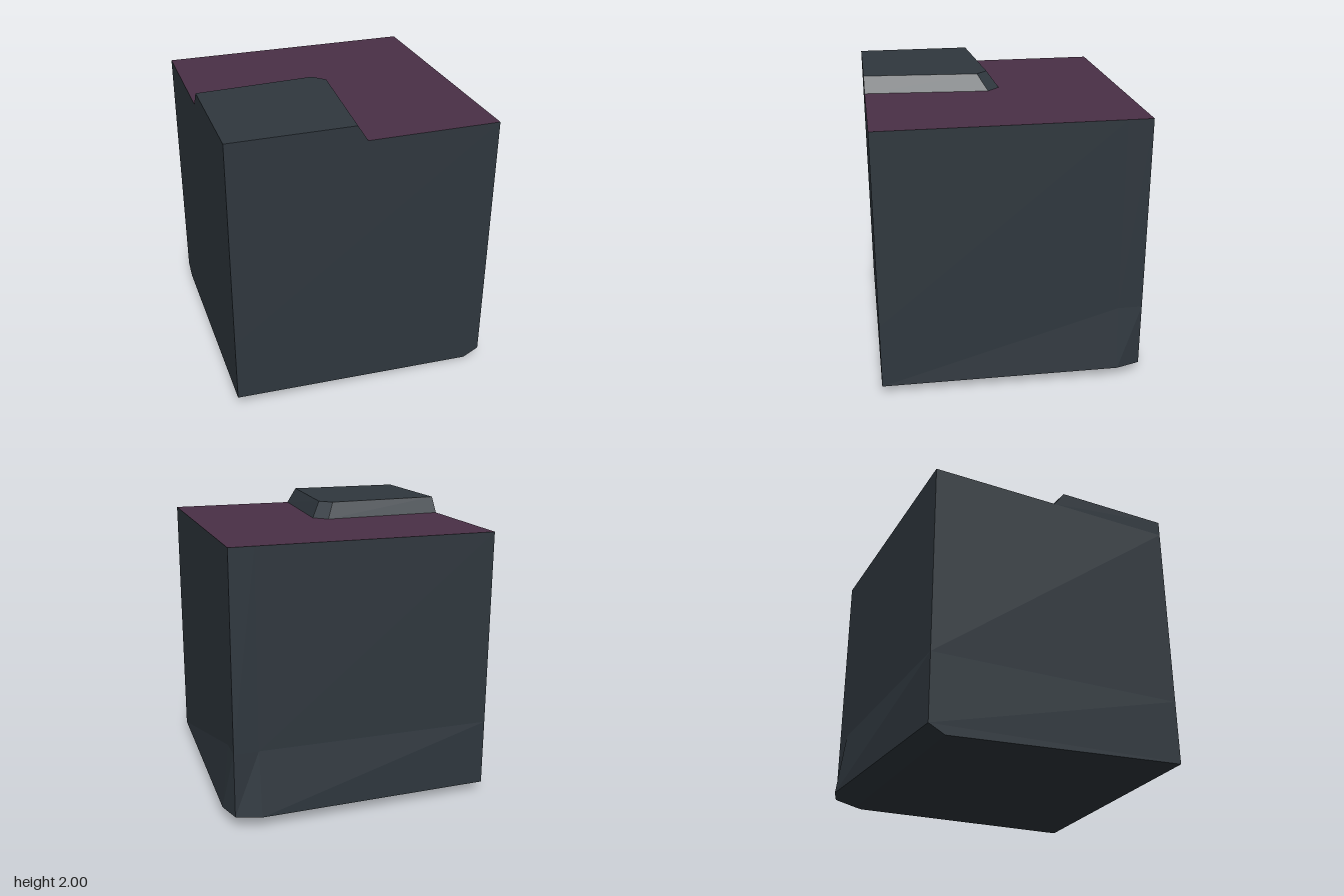
import * as THREE from 'three';

// Joins rings of [x, y, z] points, listed bottom to top and counter-clockwise from above.
function loft(rings, { bottom = false, top = false } = {}) {
  const pos = [];
  const tri = (a, b, c) => pos.push(...a, ...b, ...c);
  const n = rings[0].length;
  for (let r = 0; r < rings.length - 1; r++) {
    const lo = rings[r], hi = rings[r + 1];
    for (let i = 0; i < n; i++) {
      const j = (i + 1) % n;
      tri(lo[i], lo[j], hi[j]);
      tri(lo[i], hi[j], hi[i]);
    }
  }
  const first = rings[0], last = rings[rings.length - 1];
  for (let i = 1; i < n - 1; i++) {
    if (bottom) tri(first[0], first[i + 1], first[i]);
    if (top) tri(last[0], last[i], last[i + 1]);
  }
  const geometry = new THREE.BufferGeometry();
  geometry.setAttribute('position', new THREE.Float32BufferAttribute(pos, 3));
  geometry.computeVertexNormals();
  return geometry;
}

const atHeight = (y, outline) => outline.map(([x, z]) => [x, y, z]);

export function createModel() {
  const stone = new THREE.MeshStandardMaterial({ color: 0x2f373e });
  stone.name = 'dark slate';
  const plum = new THREE.MeshStandardMaterial({ color: 0x4a3046 });
  plum.name = 'plum';

  const group = new THREE.Group();
  group.name = 'cornerTile';
  const add = (name, geometry, material) => {
    const mesh = new THREE.Mesh(geometry, material);
    mesh.name = name;
    group.add(mesh);
  };

  // Block body: straight walls, a flared foot at the back corner, bevelled underside
  const wall = [[-0.94, 0.94], [0.88, 0.94], [0.88, -0.71], [0.88, -0.88], [0.71, -0.88], [-0.94, -0.88]];
  const underside = [
    [-0.94, 0.08, 0.94], [0.77, 0.005, 0.94], [0.77, 0, -0.71],
    [0.75, 0, -0.75], [0.71, 0, -0.77], [-0.94, 0.005, -0.77],
  ];
  const foot = [
    [-0.94, 0.09, 0.94], [0.88, 0.065, 0.94], [0.93, 0.08, -0.71],
    [0.88, 0.08, -0.88], [0.71, 0.08, -0.94], [-0.94, 0.065, -0.88],
  ];
  add('blockBody', loft([underside, foot, atHeight(0.53, wall), atHeight(1.89, wall)], { bottom: true }), stone);

  // Coloured floor on top of the block
  const floor = new THREE.PlaneGeometry(1.82, 1.82).rotateX(-Math.PI / 2).translate(-0.03, 1.89, 0.03);
  add('floor', floor, plum);

  // Raised corner slab with sloping sides
  const slabFoot = [[-0.94, 0.94], [-0.03, 0.94], [0.03, 0.07], [-0.06, -0.02], [-0.94, 0.03]];
  const slabTop = [[-0.94, 0.94], [-0.10, 0.94], [-0.04, 0.14], [-0.12, 0.06], [-0.94, 0.11]];
  add('raisedSlab', loft([atHeight(1.89, slabFoot), atHeight(2, slabTop)], { top: true }), stone);

  return group;
}
